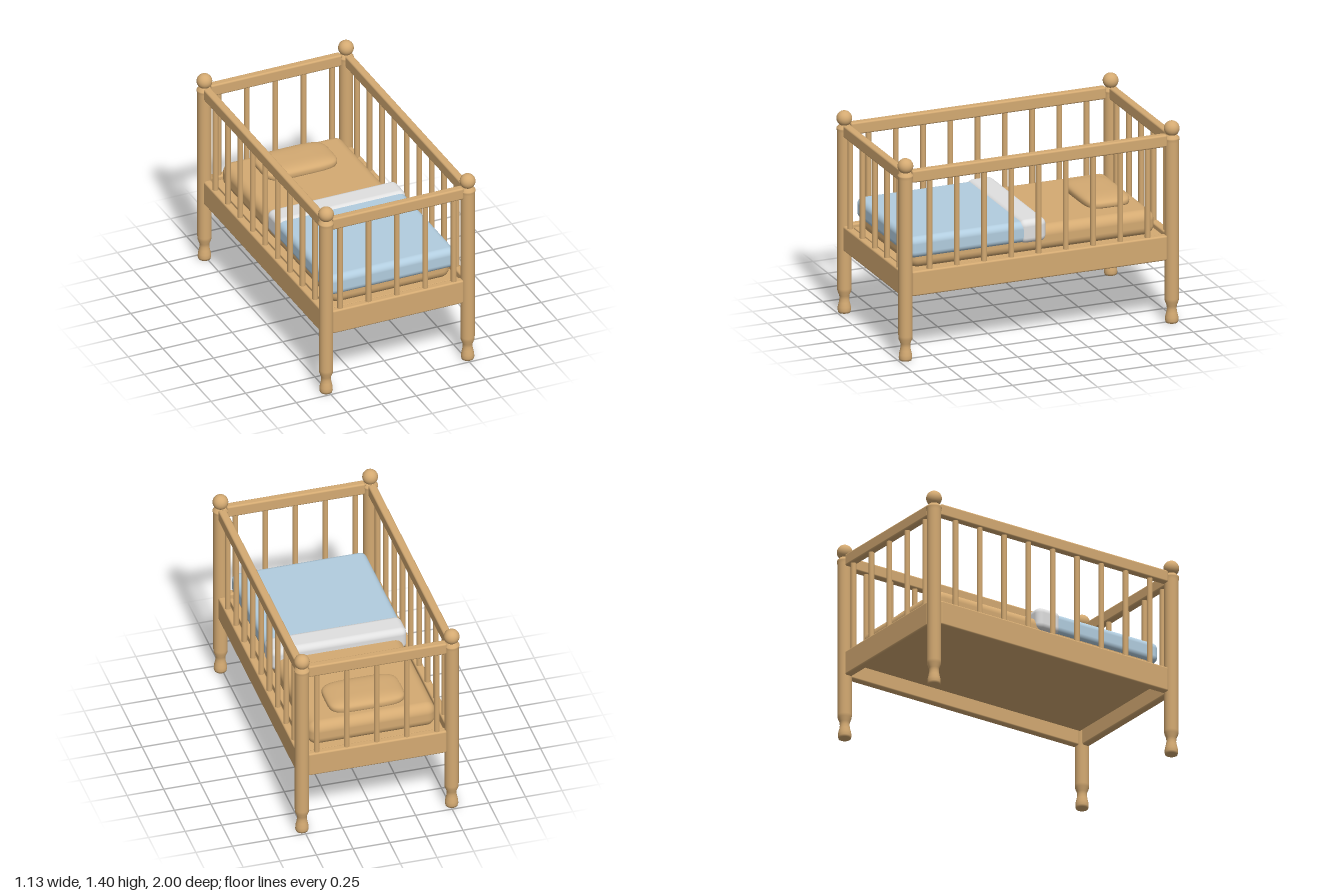
import * as THREE from 'three';
import { mergeVertices } from 'three/addons/utils/BufferGeometryUtils.js';
import { RoundedBoxGeometry } from 'three/addons/geometries/RoundedBoxGeometry.js';

const material = (name, color) => {
  const m = new THREE.MeshStandardMaterial({ color });
  m.name = name;
  return m;
};

// Rounded slab given by its min and max corners
function slab(name, mat, [x0, y0, z0], [x1, y1, z1], radius, segments = 3) {
  const geo = new RoundedBoxGeometry(x1 - x0, y1 - y0, z1 - z0, segments, radius);
  const mesh = new THREE.Mesh(geo, mat);
  mesh.position.set((x0 + x1) / 2, (y0 + y1) / 2, (z0 + z1) / 2);
  mesh.name = name;
  return mesh;
}

// Sphere squared off into a soft cushion
function cushion(a, b, c) {
  const pow = (v, e) => Math.sign(v) * Math.pow(Math.abs(v), e);
  let geo = new THREE.SphereGeometry(1, 48, 24);
  const p = geo.attributes.position;
  for (let i = 0; i < p.count; i++) {
    const x = p.getX(i), y = p.getY(i), z = p.getZ(i);
    const r = Math.hypot(x, z);
    const s = r > 1e-6 ? Math.pow(r, 0.55) / r : 0;
    const k = r > 1e-6 ? [x / r, z / r] : [0, 0];
    p.setXYZ(i, a * r * s * pow(k[0], 0.45), b * pow(y, 0.75), c * r * s * pow(k[1], 0.45));
  }
  geo.deleteAttribute('uv');
  geo.deleteAttribute('normal');
  geo = mergeVertices(geo, 1e-5);
  geo.computeVertexNormals();
  return geo;
}

export function createModel() {
  const wood = material('warm wood', 0xd4aa72);
  const blue = material('blue blanket', 0xb2cddf);
  const white = material('white sheet', 0xe0e0e0);
  const crib = new THREE.Group();
  crib.name = 'crib';

  const px = 0.511, pz = 0.948;

  // Turned corner posts with ball finials
  const profile = [
    [0, 0], [0.04, 0], [0.044, 0.015], [0.043, 0.04], [0.036, 0.07], [0.032, 0.095],
    [0.034, 0.118], [0.046, 0.148], [0.047, 0.17], [0.047, 1.255], [0.052, 1.275],
    [0.051, 1.284], [0.034, 1.302], [0.022, 1.312], [0, 1.315],
  ].map(([r, y]) => new THREE.Vector2(r, y));
  const postGeo = new THREE.LatheGeometry(profile, 28);
  const ballGeo = new THREE.SphereGeometry(0.052, 28, 18);
  for (const sx of [-1, 1]) for (const sz of [-1, 1]) {
    const post = new THREE.Mesh(postGeo, wood);
    post.position.set(sx * px, 0, sz * pz);
    post.name = 'cornerPost';
    const ball = new THREE.Mesh(ballGeo, wood);
    ball.position.set(sx * px, 1.346, sz * pz);
    ball.name = 'postBall';
    crib.add(post, ball);
  }

  // Upper and lower rails on all four sides
  const t = 0.027;
  for (const [label, y0, y1] of [['lower', 0.44, 0.612], ['upper', 1.228, 1.312]]) {
    for (const s of [-1, 1]) {
      crib.add(slab(label + 'SideRail', wood, [s * px - t, y0, -0.908], [s * px + t, y1, 0.908], 0.012));
      crib.add(slab(label + 'EndRail', wood, [-0.473, y0, s * pz - t], [0.473, y1, s * pz + t], 0.012));
    }
  }

  // Spindles between the rails
  const spindleGeo = new THREE.CylinderGeometry(0.019, 0.019, 0.64, 16);
  const spindle = (x, z) => {
    const mesh = new THREE.Mesh(spindleGeo, wood);
    mesh.position.set(x, 0.92, z);
    mesh.name = 'spindle';
    crib.add(mesh);
  };
  for (const s of [-1, 1]) {
    for (let i = -2; i <= 2; i++) spindle(i * 0.205, s * pz);
    for (let i = -4; i <= 4; i++) spindle(s * px, i * 0.194);
  }

  // Bed base and bedding
  crib.add(slab('bedBase', wood, [-0.466, 0.53, -0.906], [0.466, 0.595, 0.9], 0.005, 1));
  crib.add(slab('mattress', wood, [-0.435, 0.585, -0.872], [0.435, 0.758, 0.872], 0.065, 5));
  crib.add(slab('blanket', blue, [-0.46, 0.668, -0.03], [0.46, 0.813, 0.892], 0.045, 5));
  crib.add(slab('foldedSheet', white, [-0.466, 0.664, -0.082], [0.466, 0.825, 0.104], 0.042, 5));

  const pillow = new THREE.Mesh(cushion(0.262, 0.047, 0.16), wood);
  pillow.position.set(0, 0.777, -0.63);
  pillow.name = 'pillow';
  crib.add(pillow);

  return crib;
}
